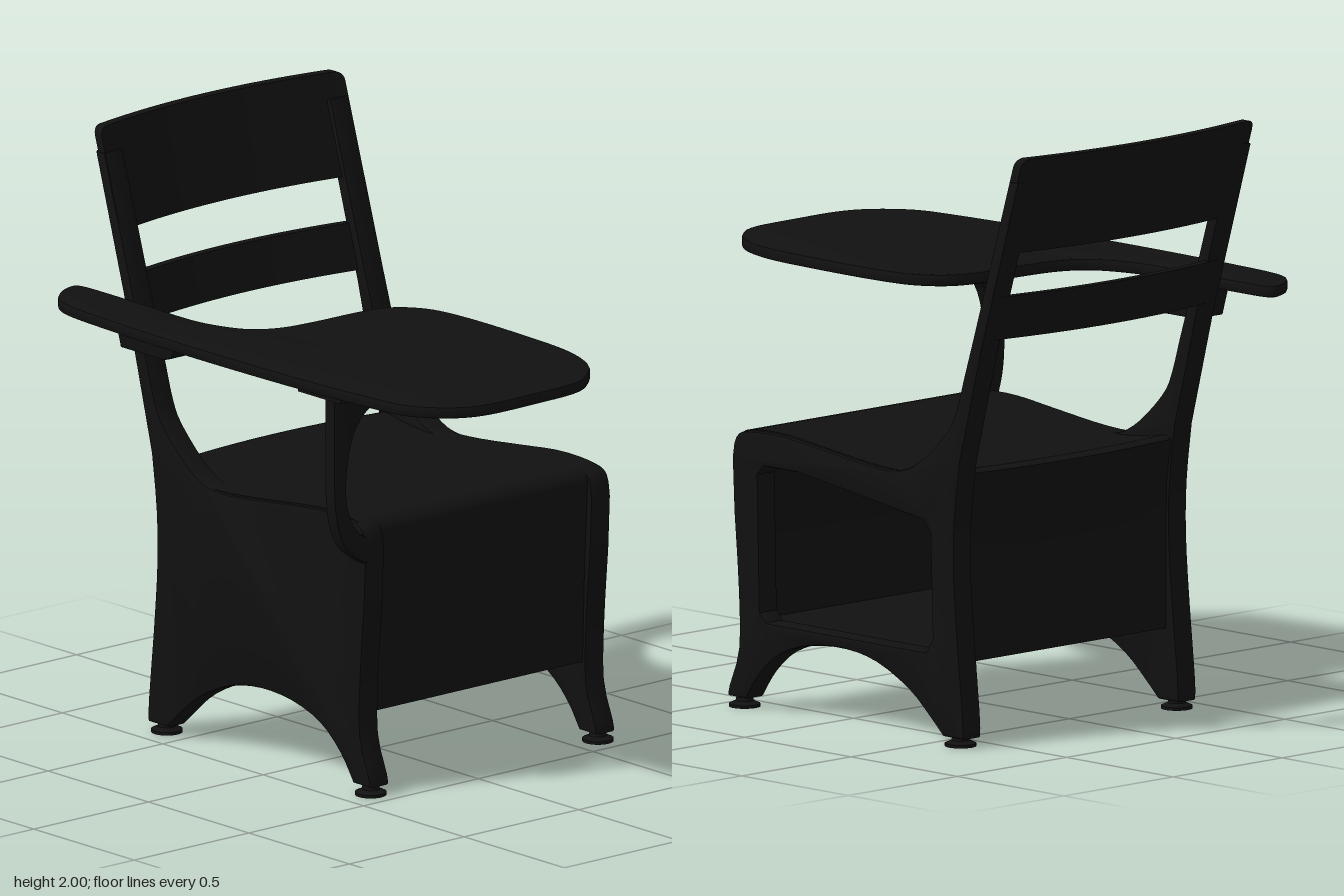
import * as THREE from 'three';
import { toCreasedNormals } from 'three/addons/utils/BufferGeometryUtils.js';

const MID = 0.105; // centre line of the chair itself, the desk hangs off one side
const material = new THREE.MeshStandardMaterial({ color: 0x111111, side: THREE.DoubleSide });
const vecs = (pts) => pts.map(([a, b]) => new THREE.Vector2(a, b));
const smooth = (pts, n = 24) =>
  new THREE.SplineCurve(vecs(pts)).getPoints(n).map((p) => [p.x, p.y]);
const clamp = (v) => THREE.MathUtils.clamp(v, 0, 1);

function addMesh(parent, name, geometry) {
  const mesh = new THREE.Mesh(toCreasedNormals(geometry, 0.6), material);
  mesh.name = name;
  parent.add(mesh);
  return mesh;
}

function moveVertices(geometry, rule) {
  const p = geometry.attributes.position;
  const v = new THREE.Vector3();
  for (let i = 0; i < p.count; i++) {
    rule(v.fromBufferAttribute(p, i));
    p.setXYZ(i, v.x, v.y, v.z);
  }
  return geometry;
}

// Extrudes a (z, y) outline across x, from x0 to x1
function acrossX(outline, hole, x0, x1, bevel = 0, steps = 1) {
  const shape = new THREE.Shape(vecs(outline));
  if (hole) shape.holes.push(new THREE.Path(vecs(hole)));
  const geometry = new THREE.ExtrudeGeometry(shape, {
    depth: x1 - x0 - 2 * bevel, steps, bevelEnabled: bevel > 0,
    bevelSize: bevel, bevelThickness: bevel, bevelOffset: -bevel, bevelSegments: 2,
  });
  return geometry.rotateY(-Math.PI / 2).translate(x1 - bevel, 0, 0);
}

// Bowed, leaning back slat with rounded corners
function slat(y0, y1, frontZ, thickness) {
  const half = 0.53, height = y1 - y0, r = 0.03;
  const geometry = new THREE.BoxGeometry(2, height, thickness, 40, 1, 1);
  return moveVertices(geometry, (v) => {
    v.x = half * Math.sin((v.x * Math.PI) / 2);
    const over = Math.max(0, Math.abs(v.x) - (half - r));
    v.y -= Math.sign(v.y) * (r - Math.sqrt(Math.max(0, r * r - over * over)));
    v.z += frontZ - thickness / 2 - 0.31 * (v.y + height / 2) - 0.06 * (1 - (v.x / half) ** 2);
    v.x += MID;
    v.y += (y0 + y1) / 2;
  });
}

export function createModel() {
  const group = new THREE.Group();
  group.name = 'tabletArmChair';

  // Side frames: legs, arch and back post in one outline
  const frame = [
    ...smooth([[0.365, 0.035], [0.3, 0.125], [0.2, 0.205], [0.06, 0.25], [-0.1, 0.26],
      [-0.25, 0.235], [-0.4, 0.165], [-0.5, 0.085], [-0.56, 0.03]]),
    ...smooth([[-0.655, 0.03], [-0.655, 0.1], [-0.625, 0.4], [-0.612, 0.6], [-0.617, 0.77], [-0.64, 0.95]], 14),
    [-0.74, 1.33], [-0.917, 1.92], [-0.872, 1.92], [-0.7, 1.37],
    ...smooth([[-0.655, 1.23], [-0.62, 1.12], [-0.58, 1.05], [-0.48, 0.955], [-0.39, 0.9], [-0.3, 0.885],
      [-0.2, 0.89], [0, 0.912], [0.2, 0.933], [0.36, 0.928], [0.415, 0.9], [0.43, 0.83]], 32),
    ...smooth([[0.422, 0.65], [0.402, 0.4], [0.4, 0.2], [0.445, 0.07], [0.45, 0.035]], 12),
  ];
  const opening = [
    [0.27, 0.3], [0.3, 0.33], [0.31, 0.79], [0.28, 0.82], [0.12, 0.82], [-0.1, 0.79],
    [-0.38, 0.75], [-0.47, 0.74], [-0.5, 0.7], [-0.51, 0.35], [-0.48, 0.3],
  ];
  addMesh(group, 'leftSideFrame', acrossX(frame, opening, 0.555, 0.64, 0.01));
  addMesh(group, 'rightSideFrame', acrossX(frame, null, -0.43, -0.345, 0.01));

  // Seat and book box as one shell, the rear edge bowing outwards
  const shell = [
    [0.385, 0.272], [0.395, 0.6], [0.408, 0.84],
    ...smooth([[0.41, 0.89], [0.37, 0.93], [0.2, 0.938], [0, 0.917], [-0.2, 0.895], [-0.35, 0.888],
      [-0.5, 0.9], [-0.58, 0.915], [-0.61, 0.905]], 26),
    [-0.61, 0.88], [-0.603, 0.75], [-0.6, 0.6], [-0.6, 0.272],
  ];
  const inside = [
    [0.36, 0.295], [0.38, 0.84], [0.36, 0.9], [0.2, 0.91], [0, 0.889],
    [-0.2, 0.867], [-0.35, 0.86], [-0.57, 0.875], [-0.575, 0.75], [-0.575, 0.295],
  ];
  addMesh(group, 'seatAndBookBox', moveVertices(acrossX(shell, inside, -0.42, 0.625, 0, 20), (v) => {
    const bow = 0.05 * (1 - ((v.x - MID) / 0.53) ** 2);
    v.z -= bow * clamp((-0.35 - v.z) / 0.25) * clamp((v.y - 0.75) / 0.15);
  }));

  // Back slats
  addMesh(group, 'topSlat', slat(1.67, 2.0, -0.795, 0.035));
  addMesh(group, 'lowerSlat', slat(1.37, 1.52, -0.715, 0.03));

  // Feet
  const footProfile = vecs([[0, 0], [0.052, 0], [0.052, 0.01], [0.03, 0.02], [0.024, 0.045], [0, 0.045]]);
  for (const x of [-0.39, 0.6]) for (const z of [0.41, -0.605]) {
    addMesh(group, 'foot', new THREE.LatheGeometry(footProfile, 24)).position.set(x, 0, z);
  }

  // Writing surface with its arm rest, outline in (x, z)
  const desk = [
    ...smooth([[-0.43, -0.85], [-0.432, -0.65], [-0.437, -0.45], [-0.42, -0.33], [-0.37, -0.22],
      [-0.28, -0.165], [-0.15, -0.148], [0.03, -0.142], [0.14, -0.12], [0.21, -0.06], [0.25, 0.03],
      [0.265, 0.2], [0.262, 0.45], [0.245, 0.67], [0.19, 0.83], [0.1, 0.93], [0, 0.98],
      [-0.18, 0.99], [-0.38, 0.988], [-0.5, 0.94], [-0.59, 0.83], [-0.62, 0.68], [-0.645, 0.35],
      [-0.655, 0], [-0.655, -0.3], [-0.645, -0.6], [-0.625, -0.84], [-0.57, -0.94],
      [-0.48, -0.995], [-0.437, -0.975], [-0.43, -0.86]], 120),
  ];
  const deskGeometry = new THREE.ExtrudeGeometry(new THREE.Shape(vecs(desk)), {
    depth: 0.024, bevelSize: 0.008, bevelThickness: 0.008, bevelOffset: -0.008, bevelSegments: 2,
  });
  addMesh(group, 'deskTop', deskGeometry.rotateX(Math.PI / 2).translate(0, 1.442, 0));

  // Curved bracket carrying the desk, outline in (x, y)
  const bracket = [
    [-0.565, 1.4],
    ...smooth([[-0.565, 1.2], [-0.563, 1.02], [-0.54, 0.91], [-0.5, 0.845], [-0.42, 0.79]], 16),
    ...smooth([[-0.42, 0.885], [-0.465, 0.915], [-0.505, 1.0], [-0.508, 1.12], [-0.48, 1.24],
      [-0.42, 1.315], [-0.32, 1.355], [-0.2, 1.365], [-0.14, 1.4]], 24),
  ];
  const bracketGeometry = new THREE.ExtrudeGeometry(new THREE.Shape(vecs(bracket)), {
    depth: 0.034, bevelSize: 0.008, bevelThickness: 0.008, bevelOffset: -0.008, bevelSegments: 2,
  });
  addMesh(group, 'deskBracket', bracketGeometry.translate(0, 0, 0.388));
  addMesh(group, 'bracketPlate', new THREE.BoxGeometry(0.45, 0.02, 0.21)).position.set(-0.385, 1.4, 0.405);

  // Block joining the arm rest to the back post
  const block = [
    [-0.43, 1.412], ...smooth([[-0.43, 1.37], [-0.445, 1.33], [-0.48, 1.313], [-0.53, 1.31]], 10),
    [-0.7, 1.31], [-0.73, 1.412],
  ];
  addMesh(group, 'armRestBlock', acrossX(block, null, -0.51, -0.38, 0.006));
  return group;
}
